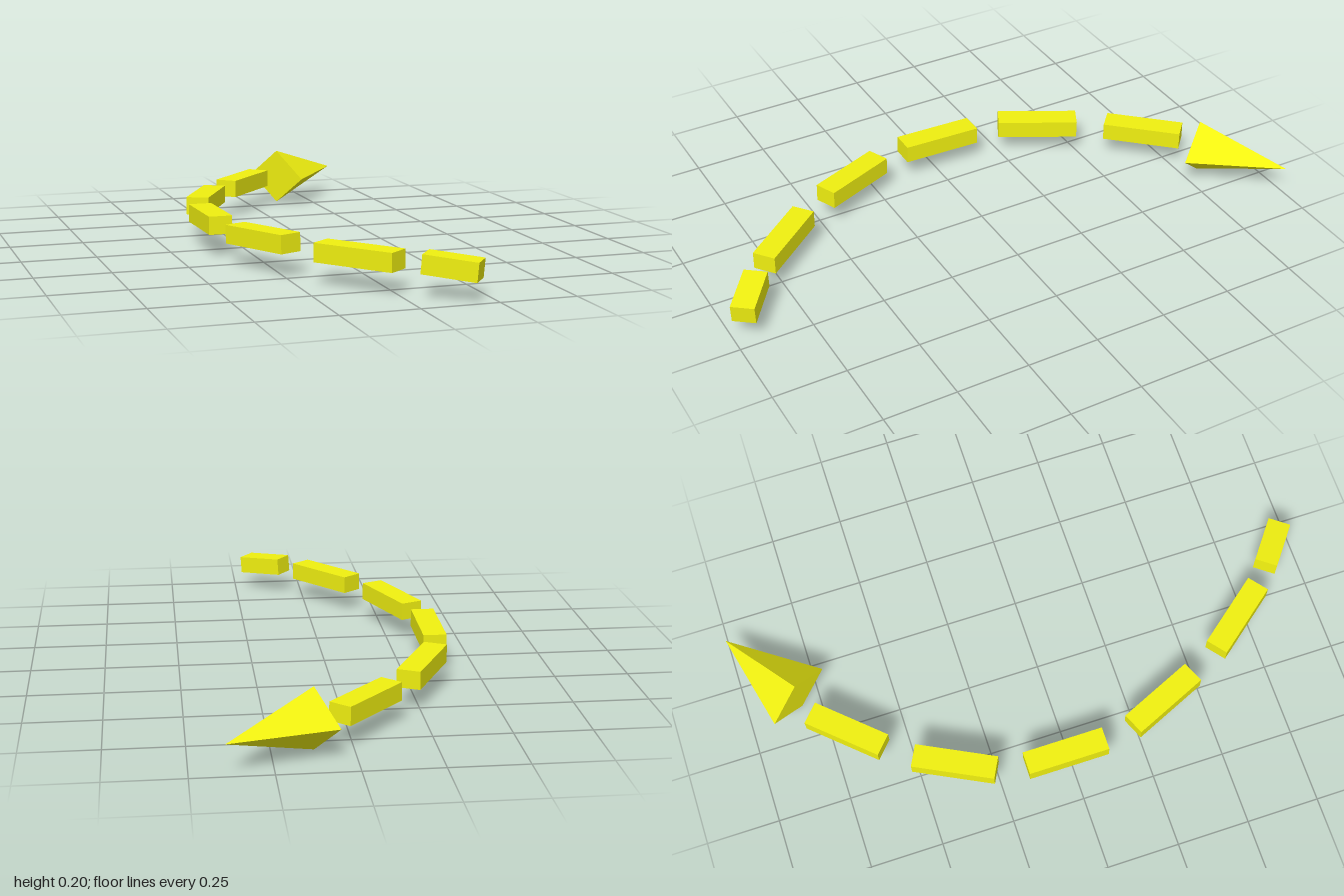
import * as THREE from 'three';

const material = new THREE.MeshStandardMaterial({ color: 0xf0f010, flatShading: true });

// Turns a part built along +z so that it runs from one point to another
function aim(mesh, from, to) {
  mesh.position.copy(from).add(to).multiplyScalar(0.5);
  mesh.lookAt(to);
  return mesh;
}

export function createModel() {
  const model = new THREE.Group();
  model.name = 'curvedDashedArrow';

  // Dashes along the arc, from head to tail: start x, y, z and end x, y, z
  const dashes = [
    [0.04, 0.102, -0.795, -0.145, 0.102, -0.593],
    [-0.212, 0.1, -0.508, -0.341, 0.104, -0.257],
    [-0.357, 0.1, -0.157, -0.359, 0.106, 0.122],
    [-0.339, 0.1, 0.228, -0.23, 0.107, 0.481],
    [-0.169, 0.102, 0.59, 0.005, 0.102, 0.807],
    [0.067, 0.106, 0.86, 0.204, 0.092, 0.964],
  ];
  dashes.forEach(([x0, y0, z0, x1, y1, z1], i) => {
    const from = new THREE.Vector3(x0, y0, z0);
    const to = new THREE.Vector3(x1, y1, z1);
    const dash = new THREE.Mesh(
      new THREE.BoxGeometry(0.079, 0.061, from.distanceTo(to)), material);
    dash.name = `dash${i + 1}`;
    model.add(aim(dash, from, to));
  });

  // Arrowhead: four-sided pyramid, slightly wider than tall
  const base = new THREE.Vector3(0.12, 0.1, -0.816);
  const tip = new THREE.Vector3(0.393, 0.1, -1);
  const pyramid = new THREE.ConeGeometry(1, base.distanceTo(tip), 4)
    .rotateX(Math.PI / 2)
    .scale(0.125, 0.1, 1);
  const head = new THREE.Mesh(pyramid, material);
  head.name = 'arrowhead';
  model.add(aim(head, base, tip));

  return model;
}
